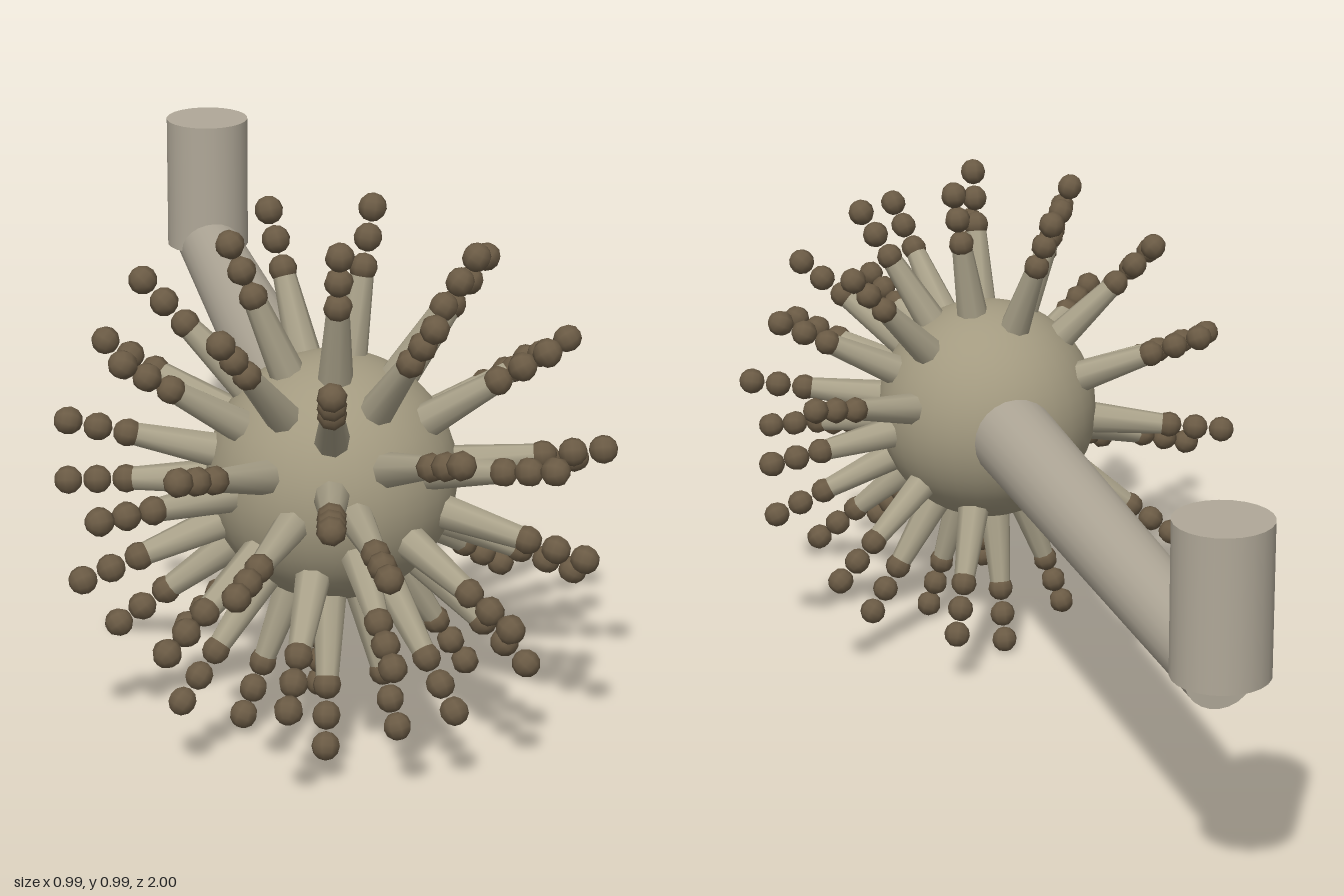
import * as THREE from 'three';

const CENTER = new THREE.Vector3(-0.012, 0.5, 0.489);
const UP = new THREE.Vector3(0, 1, 0);
const SPIKES = 45;
const GOLDEN_ANGLE = Math.PI * (3 - Math.sqrt(5));

const material = (color) => new THREE.MeshStandardMaterial({ color });

function addMesh(parent, name, geometry, mat) {
  const mesh = new THREE.Mesh(geometry, mat);
  mesh.name = name;
  parent.add(mesh);
  return mesh;
}

export function createModel() {
  const model = new THREE.Group();
  const stalkMat = material(0xb0a898);
  const headMat = material(0xa39a80);
  const spikeMat = material(0xaaa28a);
  const beadMat = material(0x6b5b45);

  // Round head
  addMesh(model, 'head', new THREE.SphereGeometry(0.225, 32, 24), headMat).position.copy(CENTER);

  // Long stalk running backwards, wider at the head
  const stalk = addMesh(model, 'stalk', new THREE.CylinderGeometry(0.086, 0.065, 1.22, 24), stalkMat);
  stalk.rotation.x = Math.PI / 2;
  stalk.position.set(CENTER.x, CENTER.y, -0.3);

  // Upright foot at the far end of the stalk
  const foot = addMesh(model, 'foot', new THREE.CylinderGeometry(0.0875, 0.0875, 0.28, 24), stalkMat);
  foot.position.set(CENTER.x, 0.64, -0.9125);

  // Spikes spiral out from the front pole, leaving the stalk side clear
  const spikeGeo = new THREE.CylinderGeometry(0.021, 0.033, 0.165, 8).translate(0, 0.2825, 0);
  const beadGeo = new THREE.SphereGeometry(0.026, 8, 6);
  for (let i = 0; i < SPIKES; i++) {
    const z = 1 - 0.035 * i;
    const r = Math.sqrt(1 - z * z);
    const a = i * GOLDEN_ANGLE;
    const direction = new THREE.Vector3(r * Math.cos(a), r * Math.sin(a), z);

    const branch = new THREE.Group();
    branch.name = 'branch';
    branch.position.copy(CENTER);
    branch.quaternion.setFromUnitVectors(UP, direction);
    addMesh(branch, 'spike', spikeGeo, spikeMat);
    // Chain of three beads on the tip
    for (let k = 0; k < 3; k++) {
      addMesh(branch, 'bead', beadGeo, beadMat).position.y = 0.377 + 0.054 * k;
    }
    model.add(branch);
  }
  return model;
}
